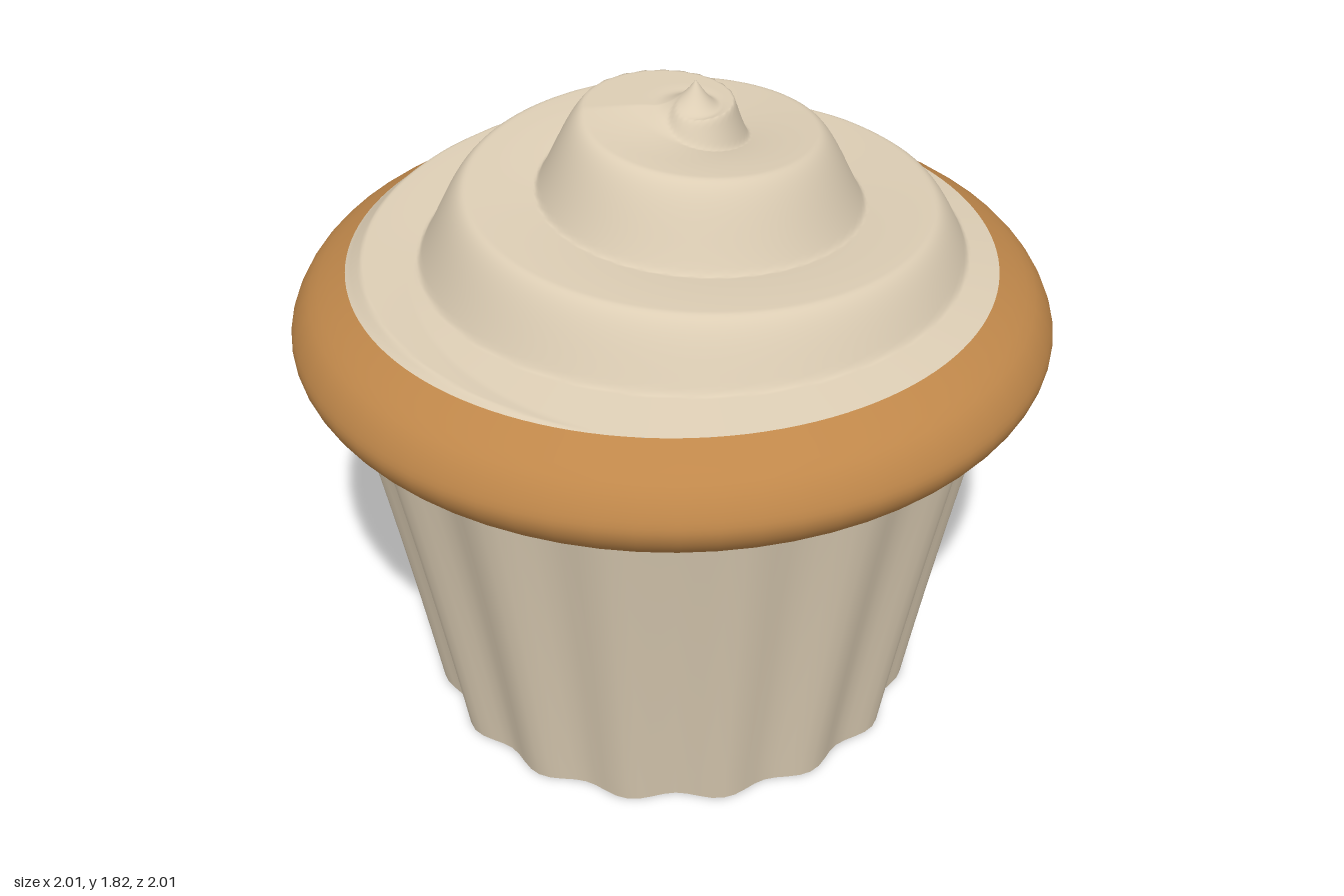
import * as THREE from 'three';

const TAU = Math.PI * 2;

// Closed ring grid: point(v, angle) gives [x, y, z], v runs 0..1 from top/centre outward.
function ringGrid(rings, segs, point) {
  const pos = [], index = [];
  for (let i = 0; i <= rings; i++) {
    for (let j = 0; j < segs; j++) pos.push(...point(i / rings, (j / segs) * TAU));
  }
  for (let i = 0; i < rings; i++) {
    for (let j = 0; j < segs; j++) {
      const k = (j + 1) % segs;
      const a = i * segs + j, b = a + segs, c = (i + 1) * segs + k, d = i * segs + k;
      index.push(a, b, c, a, c, d);
    }
  }
  const g = new THREE.BufferGeometry();
  g.setAttribute('position', new THREE.Float32BufferAttribute(pos, 3));
  g.setIndex(index);
  g.computeVertexNormals();
  return g;
}

// Fluted paper cup radius at height y
function cupRadius(y, a) {
  return 0.648 + 0.18 * y + 0.022 * y * y + 0.017 * Math.cos(16 * a);
}

// Height of one swirl step: rounded shoulder, steep drop, then a nearly flat shelf
function swirlStep(f) {
  const p = f / 0.42;
  if (p < 1) return 1.04 * p * p * (1.9 - 0.9 * p);
  const q = (1 - f) / 0.58;
  return 1 + 0.04 * q * q;
}

// Frosting height: a rope winding outward and down
function frostingHeight(r, a) {
  const turn = a / TAU;
  const u = (r - 0.36) / 0.31 - turn;
  const k = Math.floor(u);
  let h = 1.66 - 0.2 * (k + turn + swirlStep(u - k));
  h = Math.min(h, 1.75, 1.31 + (0.85 - r) * 0.95);
  h = Math.max(h, 1.31 + (0.85 - r) * 0.18);
  const blend = THREE.MathUtils.smoothstep(r, 0.02, 0.12);
  const tip = Math.max(0, 1 - r / 0.085);
  return THREE.MathUtils.lerp(1.74, h, blend) + 0.08 * Math.pow(tip, 1.6);
}

export function createModel() {
  const group = new THREE.Group();
  const cream = new THREE.MeshStandardMaterial({ color: 0xdccdb4 });
  cream.name = 'cream';
  const sponge = new THREE.MeshStandardMaterial({ color: 0xbf874a });
  sponge.name = 'golden sponge';

  const add = (name, geometry, material) => {
    const mesh = new THREE.Mesh(geometry, material);
    mesh.name = name;
    group.add(mesh);
  };

  // Paper cup wall
  add('paperCup', ringGrid(12, 128, (v, a) => {
    const y = 1.03 * (1 - v), r = cupRadius(y, a);
    return [r * Math.cos(a), y, -r * Math.sin(a)];
  }), cream);

  // Flat base with the same fluted edge
  add('cupBase', ringGrid(1, 128, (v, a) => {
    const r = cupRadius(0, a) * (1 - v);
    return [r * Math.cos(a), 0, -r * Math.sin(a)];
  }), cream);

  // Cake rim bulging over the cup
  const rim = new THREE.SplineCurve([
    [0.76, 1.02], [0.84, 1.0], [0.89, 1.013], [0.96, 1.06], [0.998, 1.115],
    [0.997, 1.17], [0.95, 1.245], [0.85, 1.308],
  ].map(([x, y]) => new THREE.Vector2(x, y)));
  add('cakeRim', new THREE.LatheGeometry(rim.getPoints(28), 64), sponge);

  // Swirled frosting, its tip leaning slightly to one side
  add('frosting', ringGrid(110, 128, (v, a) => {
    const r = 0.852 * v;
    const lean = 0.06 * (1 - THREE.MathUtils.smoothstep(r, 0, 0.22));
    return [r * Math.cos(a) + lean, frostingHeight(r, a), -r * Math.sin(a)];
  }), cream);

  return group;
}
